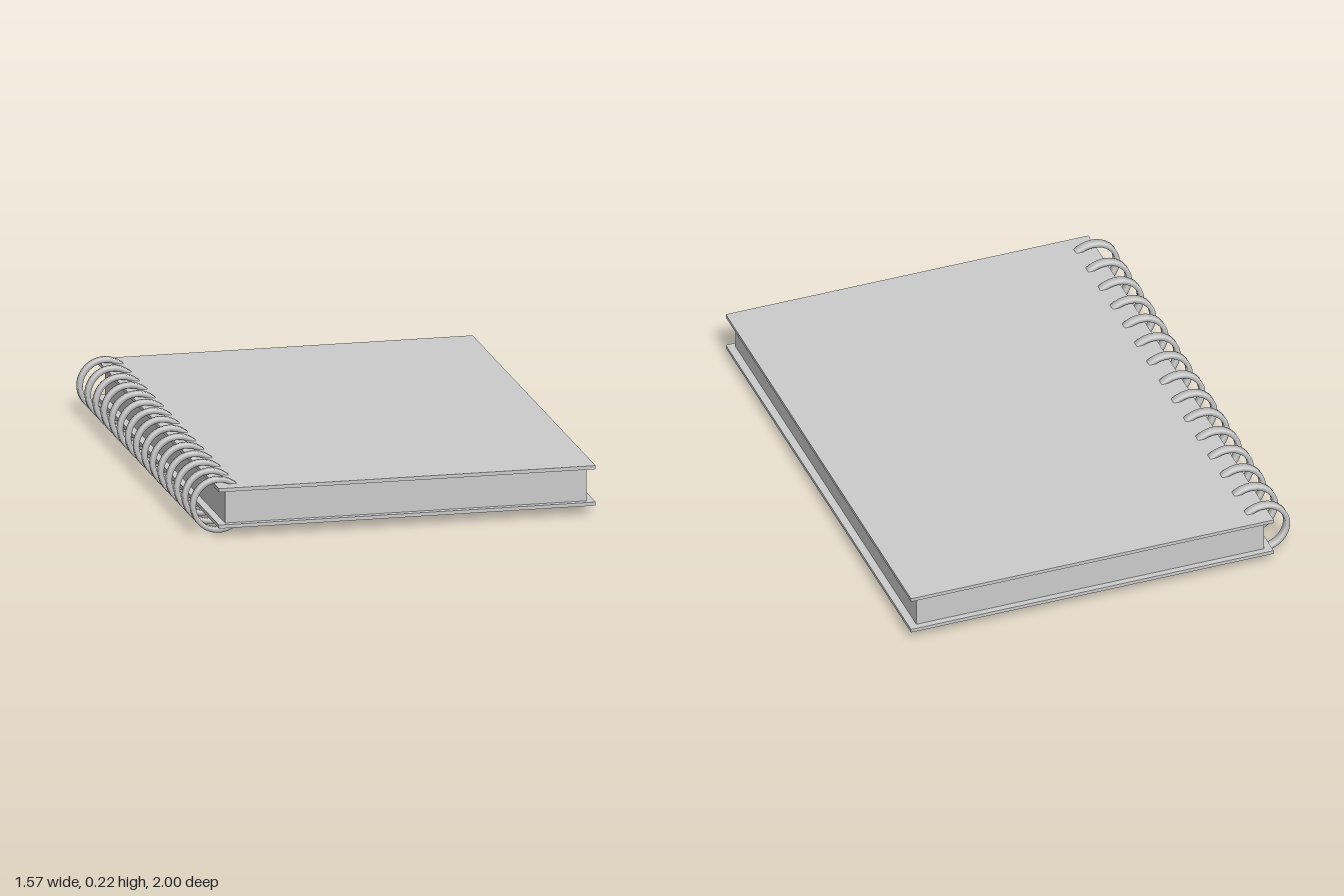
import * as THREE from 'three';
import { toCreasedNormals } from 'three/addons/utils/BufferGeometryUtils.js';

export function createModel() {
  const group = new THREE.Group();
  group.name = 'spiralNotebook';
  const grey = new THREE.MeshStandardMaterial({ color: 0xcccccc });

  function addBox(name, x0, x1, y0, y1, depth) {
    const mesh = new THREE.Mesh(new THREE.BoxGeometry(x1 - x0, y1 - y0, depth), grey);
    mesh.position.set((x0 + x1) / 2, (y0 + y1) / 2, 0);
    mesh.name = name;
    group.add(mesh);
  }

  // Block of pages between two slightly larger covers
  addBox('backCover', -0.69, 0.783, 0.033, 0.047, 2);
  addBox('pages', -0.66, 0.752, 0.047, 0.176, 1.95);
  addBox('frontCover', -0.69, 0.783, 0.176, 0.19, 2);

  // Flat band section with small chamfers, revolved into a binding ring
  const outer = 0.108, inner = 0.089, half = 0.017, c = 0.003;
  const section = [
    [inner + c, -half], [outer - c, -half], [outer, -half + c], [outer, half - c],
    [outer - c, half], [inner + c, half], [inner, half - c], [inner, -half + c],
    [inner + c, -half],
  ].map(([r, y]) => new THREE.Vector2(r, y));
  const ringGeometry = toCreasedNormals(
    new THREE.LatheGeometry(section, 48).rotateX(Math.PI / 2), Math.PI / 3);

  // Row of rings along the left edge
  const rings = new THREE.Group();
  rings.name = 'bindingRings';
  for (let i = -7; i <= 7; i++) {
    const ring = new THREE.Mesh(ringGeometry, grey);
    ring.name = 'bindingRing';
    ring.position.set(-0.675, outer, i * 0.131 + (i > 0 ? 0.005 : 0));
    rings.add(ring);
  }
  group.add(rings);
  return group;
}
